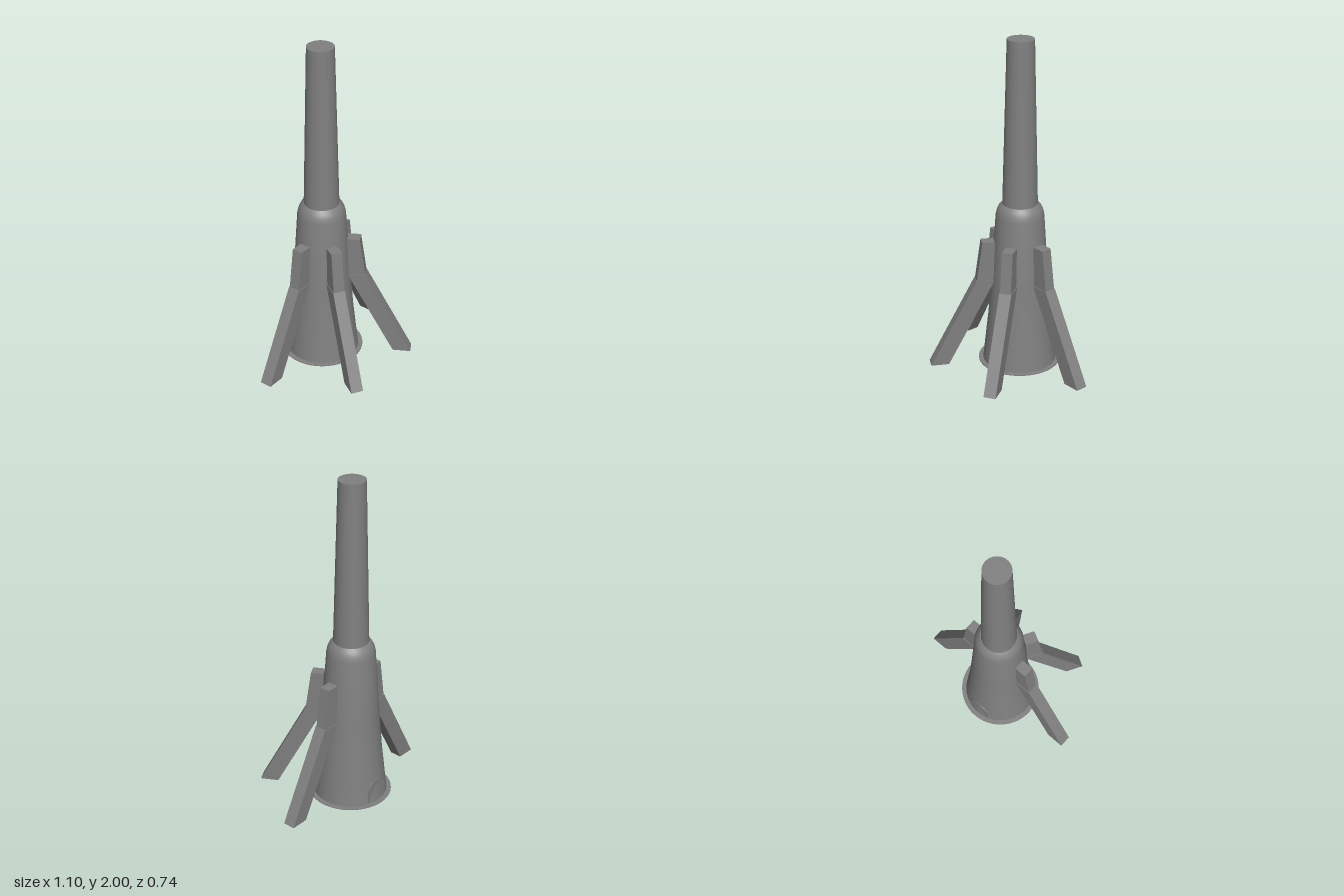
import * as THREE from 'three';
import { toCreasedNormals } from 'three/addons/utils/BufferGeometryUtils.js';

const AXIS_Z = -0.125; // the tower stands behind the centre of the footprint

export function createModel() {
  const model = new THREE.Group();
  model.name = 'tower';
  const grey = new THREE.MeshStandardMaterial({ color: 0x808080 });
  grey.name = 'concrete grey';

  const add = (parent, name, geometry) => {
    const mesh = new THREE.Mesh(geometry, grey);
    mesh.name = name;
    parent.add(mesh);
    return mesh;
  };
  // Surface of revolution with sharp edges kept, profile from bottom to top
  const lathe = (points) => toCreasedNormals(
    new THREE.LatheGeometry(points.map(([r, y]) => new THREE.Vector2(r, y)), 48), 0.6);
  // Slab of the given width, centred on its own radial plane
  const slab = (points, width) => new THREE.ExtrudeGeometry(
    new THREE.Shape(points.map(([x, y]) => new THREE.Vector2(x, y))),
    { depth: width, bevelEnabled: false }).translate(0, 0, -width / 2);

  const tower = new THREE.Group();
  tower.name = 'towerAssembly';
  tower.position.z = AXIS_Z;
  model.add(tower);

  // Thin base flange
  add(tower, 'baseFlange', new THREE.CylinderGeometry(0.247, 0.247, 0.005, 48).translate(0, 0.0025, 0));

  // Tapered body with a rounded shoulder
  add(tower, 'body', lathe([
    [0, 0.003], [0.22, 0.003], [0.188, 0.3], [0.168, 0.56], [0.143, 0.94],
    [0.137, 0.97], [0.125, 0.997], [0.108, 1.015], [0, 1.015],
  ]));

  // Slender tapered mast
  add(tower, 'mast', new THREE.CylinderGeometry(0.079, 0.104, 0.985, 48).translate(0, 1.5075, 0));

  // Arched doorway projecting from the back
  const arch = new THREE.Shape();
  arch.moveTo(-0.072, 0.003);
  arch.lineTo(0.072, 0.003);
  arch.lineTo(0.072, 0.075);
  arch.absarc(0, 0.075, 0.072, 0, Math.PI, false);
  arch.closePath();
  const door = new THREE.ExtrudeGeometry(arch, { depth: 0.1, bevelEnabled: false, curveSegments: 24 });
  add(tower, 'doorway', toCreasedNormals(door, 0.6)).position.z = -0.208;

  // Bent buttress legs: one each side and two towards the front
  const upper = slab([[0.155, 0.79], [0.165, 0.545], [0.265, 0.545], [0.23, 0.79]], 0.066);
  const lower = slab([[0.158, 0.545], [0.44, 0.01], [0.548, 0.01], [0.267, 0.545]], 0.074);
  for (let i = 0; i < 4; i++) {
    const leg = new THREE.Group();
    leg.name = 'buttress' + (i + 1);
    leg.rotation.y = -i * Math.PI / 3;
    add(leg, 'upperButtress', upper);
    add(leg, 'lowerButtress', lower);
    tower.add(leg);
  }
  return model;
}
